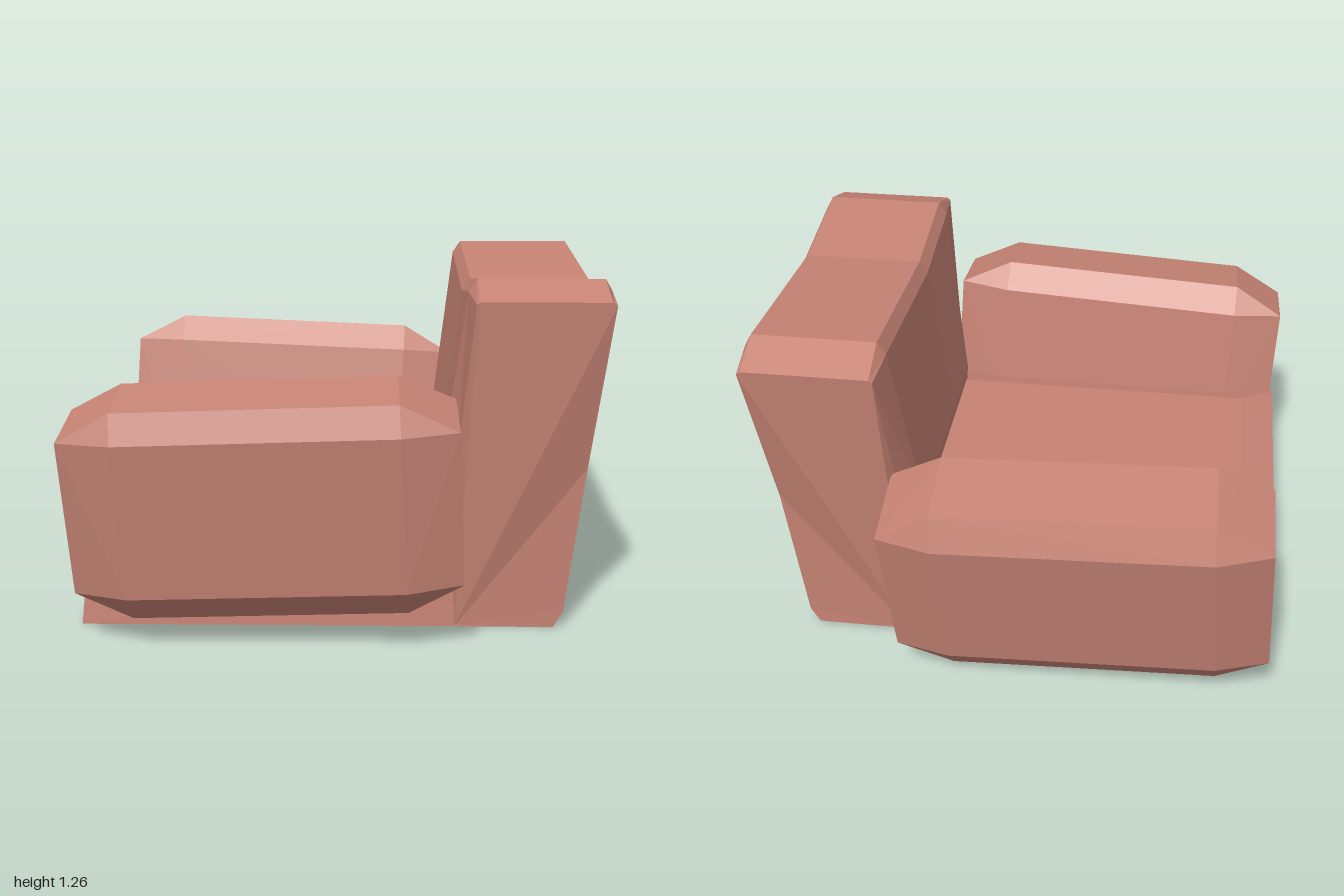
import * as THREE from 'three';
import { ConvexGeometry } from 'three/addons/geometries/ConvexGeometry.js';

const upholstery = new THREE.MeshStandardMaterial({ color: 0xc68374 });
upholstery.name = 'dusty rose upholstery';

function part(name, geometry) {
  const mesh = new THREE.Mesh(geometry, upholstery);
  mesh.name = name;
  return mesh;
}

const hull = (pts) => new ConvexGeometry(pts.map((p) => new THREE.Vector3(...p)));

// Chamfered armrest: an 8-point [z, y] section in the middle, 4-point end faces, slightly tilted
function armrest(name, side, middle, end, tilt, x0, y0) {
  const pts = [];
  const add = (section, xs) => xs.forEach((x) => section.forEach(([z, y]) => pts.push([
    x - tilt * (y - y0) * 1.2,
    y + tilt * (x - x0),
    side * z + (side > 0 ? 0.03 * (x - 0.22) : 0),
  ])));
  add(middle, [-0.735, 0.22]);
  add(end, [-0.925, 0.415]);
  return part(name, hull(pts));
}

// Backrest: side profiles lofted across z, with a dip in the top edge
function backrestGeometry() {
  const columns = [[1, 1.205], [0.76, 1.26], [0.19, 1.2], [-0.8, 1.255], [-1, 1.19]];
  const rings = columns.map(([c, top]) => {
    const isEnd = Math.abs(c) === 1;
    const inset = isEnd ? 0.045 : 0;
    const drop = isEnd ? 0.01 : 0.045;
    return [
      [0.41, 0, 0.6],
      [0.355 + inset, 0.55, 0.615],
      [0.44 + inset * 0.4, top - drop, 0.73],
      [0.47, top, 0.73],
      [0.91, top, 0.73],
      [0.935 - inset * 0.2, top - drop, 0.73],
      [0.865, 0.6, 0.615],
      [0.8, 0.06, 0.6],
      [0.765, 0, 0.6],
    ].map(([x, y, w]) => [x, y, c * w]);
  });
  const pos = [];
  const tri = (...corners) => corners.forEach((p) => pos.push(...p));
  const n = rings[0].length;
  for (let i = 0; i < rings.length - 1; i++) {
    for (let j = 0; j < n; j++) {
      const k = (j + 1) % n;
      const [a, b, c, d] = [rings[i][j], rings[i][k], rings[i + 1][j], rings[i + 1][k]];
      tri(a, b, d);
      tri(a, d, c);
    }
  }
  const first = rings[0];
  const last = rings[rings.length - 1];
  for (let j = 1; j < n - 1; j++) {
    tri(first[0], first[j + 1], first[j]);
    tri(last[0], last[j], last[j + 1]);
  }
  const geometry = new THREE.BufferGeometry();
  geometry.setAttribute('position', new THREE.Float32BufferAttribute(pos, 3));
  geometry.computeVertexNormals();
  return geometry;
}

export function createModel() {
  const chair = new THREE.Group();
  chair.name = 'armchair';

  // Seat: tapered base below a cushion with a softened top
  const base = [];
  const cushion = [];
  for (const s of [1, -1]) {
    base.push([-0.94, 0, s * 0.61], [0.5, 0, s * 0.6], [-0.918, 0.22, s * 0.59], [0.5, 0.22, s * 0.59]);
    cushion.push(
      [-0.918, 0.22, s * 0.59], [0.5, 0.22, s * 0.59],
      [-0.94, 0.445, s * 0.61], [0.5, 0.445, s * 0.6],
      [-0.81, 0.485, s * 0.46], [0.5, 0.485, s * 0.46],
    );
  }
  chair.add(part('seatBase', hull(base)), part('seatCushion', hull(cushion)));

  chair.add(part('backrest', backrestGeometry()));

  // Armrests lean outwards by different amounts
  chair.add(armrest('leftArmrest', 1,
    [[0.995, 0.8], [0.96, 0.905], [0.685, 0.945], [0.61, 0.85],
      [0.53, 0.3], [0.56, 0.14], [0.83, 0.14], [0.92, 0.24]],
    [[0.95, 0.805], [0.65, 0.85], [0.575, 0.295], [0.865, 0.25]],
    0.042, 0.22, 0.5));
  chair.add(armrest('rightArmrest', -1,
    [[1.0, 0.715], [0.96, 0.835], [0.69, 0.894], [0.615, 0.8],
      [0.5, 0.26], [0.54, 0.125], [0.81, 0.067], [0.89, 0.165]],
    [[0.955, 0.73], [0.655, 0.79], [0.545, 0.25], [0.845, 0.175]],
    -0.042, -0.25, 0.45));

  return chair;
}
